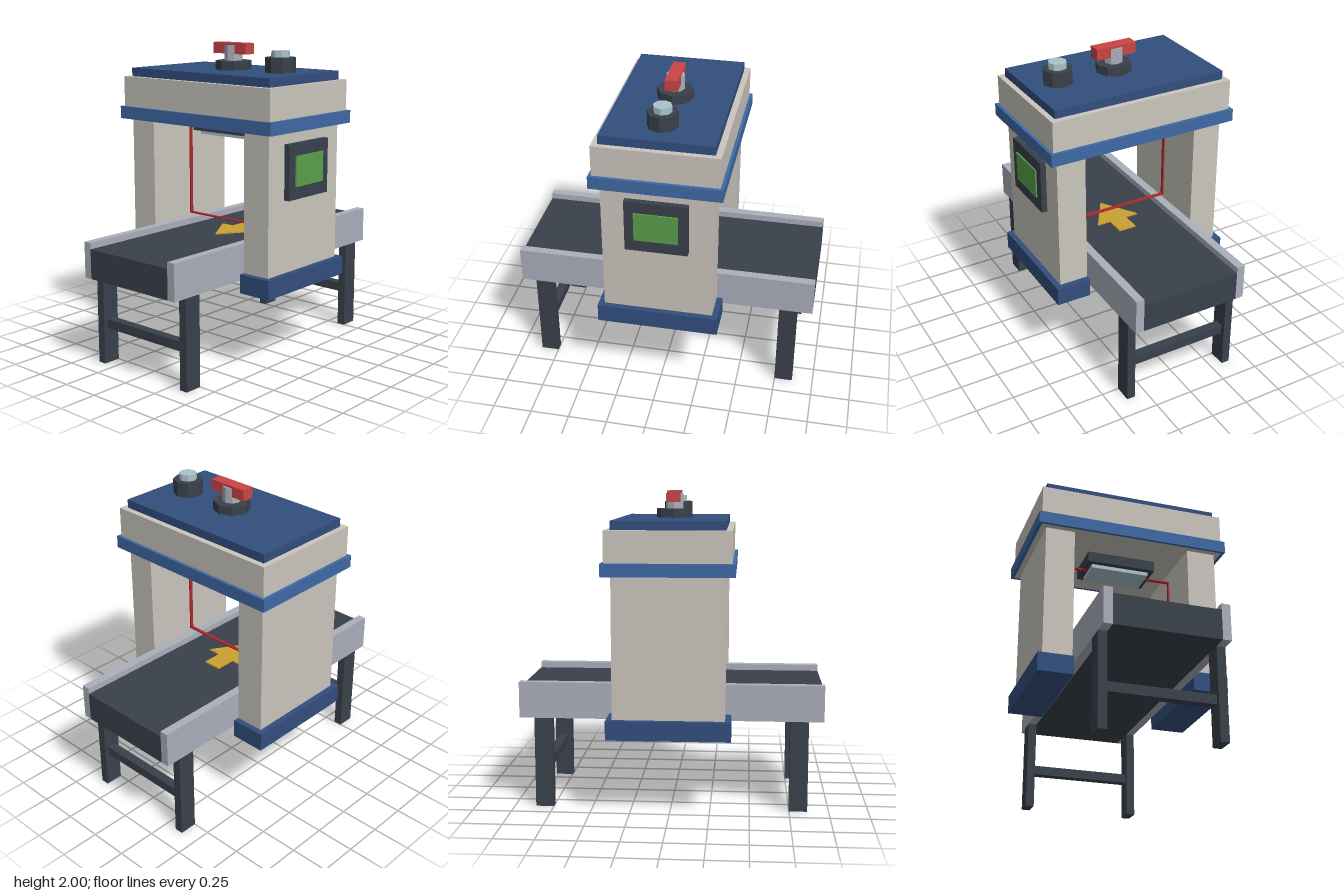
import * as THREE from 'three';

const paint = (name, color) => {
  const m = new THREE.MeshStandardMaterial({ color });
  m.name = name;
  return m;
};

export function createModel() {
  const beige = paint('housing beige', 0xcac6bd);
  const dark = paint('dark slate', 0x3a414b);
  const grey = paint('rail grey', 0xabafbb);
  const navy = paint('navy', 0x334e7e);
  const blue = paint('trim blue', 0x3f69a5);
  const green = paint('screen green', 0x5a9f4b);
  const red = paint('handle red', 0xcb4545);
  const beam = paint('beam red', 0xb0282c);
  const glass = paint('pale glass', 0xabc3cb);
  const yellow = paint('arrow yellow', 0xcba032);
  dark.flatShading = grey.flatShading = glass.flatShading = true;

  const model = new THREE.Group();
  model.name = 'conveyorScanner';

  const add = (name, geometry, material, x = 0, y = 0, z = 0) => {
    const mesh = new THREE.Mesh(geometry, material);
    mesh.name = name;
    mesh.position.set(x, y, z);
    model.add(mesh);
    return mesh;
  };
  // Box given by its limits on each axis
  const box = (name, mat, x0, x1, y0, y1, z0, z1) =>
    add(name, new THREE.BoxGeometry(x1 - x0, y1 - y0, z1 - z0), mat,
      (x0 + x1) / 2, (y0 + y1) / 2, (z0 + z1) / 2);
  // Box mirrored to both sides in x
  const pair = (name, mat, x0, x1, y0, y1, z0, z1) => {
    box(name + 'Left', mat, x0, x1, y0, y1, z0, z1);
    box(name + 'Right', mat, -x1, -x0, y0, y1, z0, z1);
  };
  const post = (name, mat, r, y0, y1, x, sides = 8) =>
    add(name, new THREE.CylinderGeometry(r, r, y1 - y0, sides), mat, x, (y0 + y1) / 2, 0);

  // Conveyor
  box('belt', dark, -0.33, 0.33, 0.58, 0.77, -0.96, 0.96);
  pair('sideRail', grey, 0.33, 0.385, 0.58, 0.81, -0.96, 0.96);
  for (const [end, z] of [['front', 0.807], ['back', -0.807]]) {
    pair(end + 'Leg', dark, 0.33, 0.385, 0, 0.58, z - 0.058, z + 0.058);
    box(end + 'Brace', dark, -0.33, 0.33, 0.23, 0.29, z - 0.03, z + 0.03);
  }

  // Direction arrow lying on the belt, pointing to the front
  const arrow = new THREE.Shape([
    [0, -0.18], [-0.15, 0.06], [-0.06, 0.06], [-0.06, 0.19],
    [0.06, 0.19], [0.06, 0.06], [0.15, 0.06],
  ].map(([x, y]) => new THREE.Vector2(x, y)));
  add('beltArrow', new THREE.ExtrudeGeometry(arrow, { depth: 0.009, bevelEnabled: false }),
    yellow, 0, 0.77, 0).rotation.x = -Math.PI / 2;

  // Arch: feet, pillars, head and lid
  pair('foot', navy, 0.385, 0.612, 0.5, 0.62, -0.384, 0.384);
  pair('pillar', beige, 0.385, 0.575, 0.62, 1.5, -0.346, 0.346);
  box('head', beige, -0.612, 0.612, 1.5, 1.775, -0.384, 0.384);
  box('lid', navy, -0.577, 0.577, 1.775, 1.83, -0.346, 0.346);

  // Trim band around the head
  pair('trimSide', blue, 0.612, 0.633, 1.5, 1.58, -0.403, 0.403);
  box('trimFront', blue, -0.612, 0.612, 1.5, 1.58, 0.384, 0.403);
  box('trimBack', blue, -0.612, 0.612, 1.5, 1.58, -0.403, -0.384);

  // Scanner under the head
  box('scannerBody', dark, -0.23, 0.23, 1.43, 1.5, -0.135, 0.135);
  box('scannerLens', glass, -0.195, 0.195, 1.405, 1.43, -0.1, 0.1);

  // Thin beam frame in the opening
  pair('beamUpright', beam, 0.376, 0.385, 0.831, 1.435, -0.011, 0.011);
  box('beamBottom', beam, -0.376, 0.376, 0.831, 0.84, -0.011, 0.011);
  box('beamTop', beam, -0.376, 0.376, 1.426, 1.435, -0.011, 0.011);

  // Display on the left pillar
  box('displayCase', dark, 0.575, 0.612, 1.08, 1.425, -0.195, 0.195);
  box('displayScreen', green, 0.612, 0.621, 1.16, 1.35, -0.136, 0.136);

  // Valve with handle, and capped fitting
  post('valveBase', dark, 0.115, 1.83, 1.887, 0);
  post('valveStem', grey, 0.057, 1.887, 1.985, 0);
  box('valveHandle', red, -0.135, 0.135, 1.93, 2, -0.04, 0.04);
  post('fittingBase', dark, 0.095, 1.83, 1.925, 0.383);
  post('fittingCap', glass, 0.058, 1.925, 1.965, 0.383);

  return model;
}
